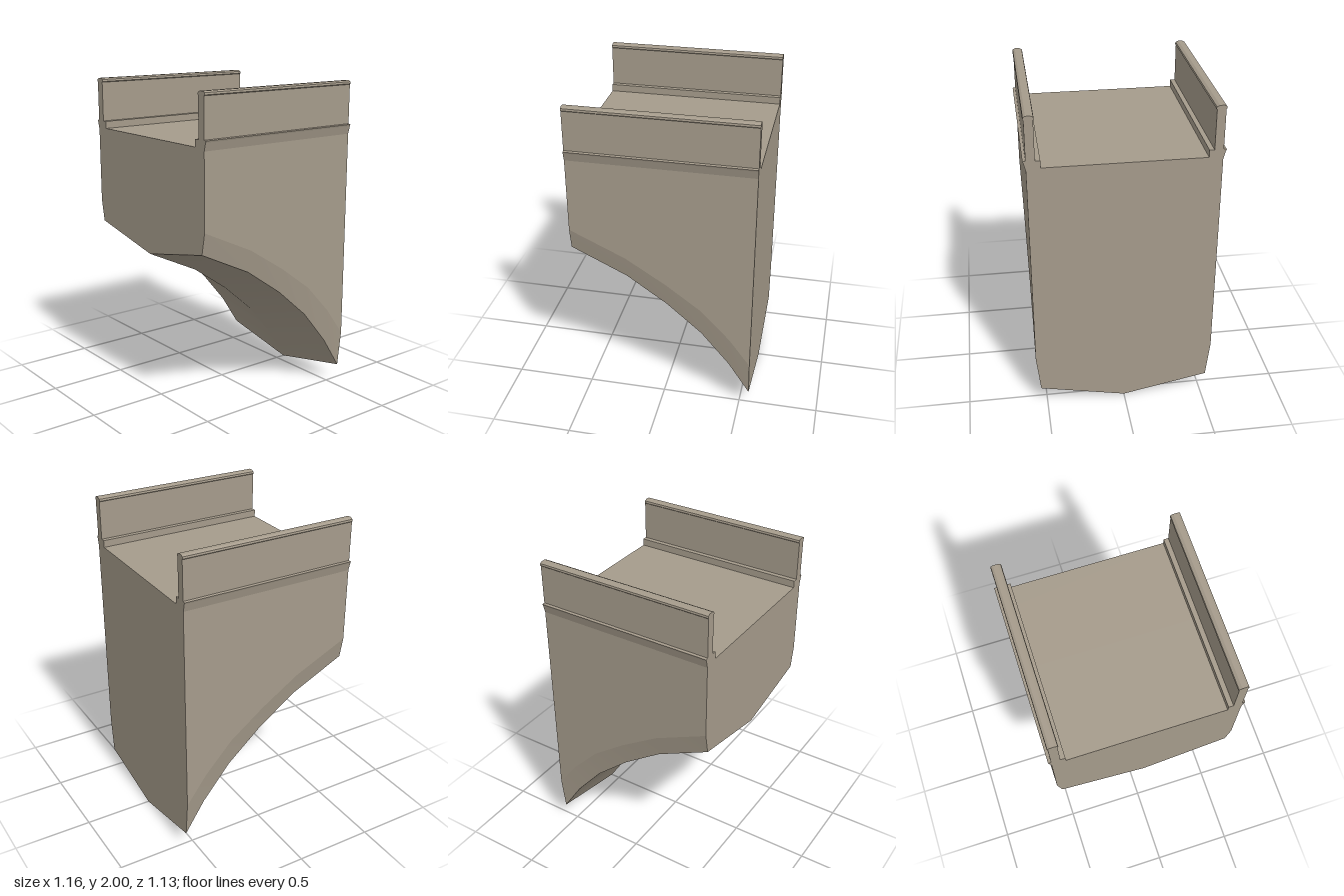
import * as THREE from 'three';
import { mergeGeometries } from 'three/addons/utils/BufferGeometryUtils.js';

const HALF_Z = 0.563;
const FLOOR_Y = 1.685;

// Stations from front to back: z, keel height, height of the lower side edge above its chine
const stations = [
  [HALF_Z, 0.96, 0.135],
  [0.22, 0.795, 0.14],
  [-0.03, 0.62, 0.155],
  [-0.25, 0.427, 0.185],
  [-0.43, 0.21, 0.21],
  [-HALF_Z, 0.003, 0.235],
];

// Closed cross-section, counter-clockwise from the keel
function section([, keel, bevel]) {
  const chine = keel + 0.11;
  return [
    [0, keel], [0.537, chine], [0.563, chine + bevel], [0.563, FLOOR_Y],
    [-0.563, FLOOR_Y], [-0.563, chine + bevel], [-0.537, chine],
  ];
}

// One panel between two neighbouring section corners, smooth along its length
function panel(i) {
  const positions = [], index = [];
  stations.forEach((station, j) => {
    const s = section(station);
    const p = s[i], q = s[(i + 1) % s.length];
    positions.push(p[0], p[1], station[0], q[0], q[1], station[0]);
    if (j > 0) {
      const a = 2 * j - 2, b = a + 1, d = a + 2, c = a + 3;
      index.push(a, d, b, b, d, c);
    }
  });
  const geometry = new THREE.BufferGeometry();
  geometry.setAttribute('position', new THREE.Float32BufferAttribute(positions, 3));
  geometry.setIndex(index);
  geometry.computeVertexNormals();
  return geometry;
}

const toShape = (points) => new THREE.Shape(points.map(([x, y]) => new THREE.Vector2(x, y)));

// Flat end wall; the section is symmetric, so the back one is simply turned round
function endWall(station, turn) {
  const geometry = new THREE.ShapeGeometry(toShape(section(station)));
  geometry.deleteAttribute('uv');
  return geometry.rotateY(turn).translate(0, 0, station[0]);
}

export function createModel() {
  const model = new THREE.Group();
  model.name = 'bracketBlock';
  const stone = new THREE.MeshStandardMaterial({ color: 0xa59b8b });
  stone.name = 'warm stone';

  // Block with a curved, V-shaped underside
  const parts = section(stations[0]).map((_, i) => panel(i));
  parts.push(endWall(stations[0], 0), endWall(stations[stations.length - 1], Math.PI));
  const body = new THREE.Mesh(mergeGeometries(parts), stone);
  body.name = 'body';
  model.add(body);

  // Parapets: inner step, outer moulding and a rounded cap
  const profile = [
    [0.48, 1.68], [0.563, 1.67], [0.576, 1.72], [0.58, 1.73], [0.563, 1.733],
    [0.563, 1.975], [0.568, 1.98], [0.566, 1.992], [0.552, 2], [0.525, 2],
    [0.508, 1.992], [0.505, 1.98], [0.51, 1.975], [0.51, 1.73], [0.48, 1.73],
  ];
  for (const side of [1, -1]) {
    const points = profile.map(([x, y]) => [side * x, y]);
    const geometry = new THREE.ExtrudeGeometry(toShape(points), { depth: 2 * HALF_Z, bevelEnabled: false });
    geometry.translate(0, 0, -HALF_Z);
    const parapet = new THREE.Mesh(geometry, stone);
    parapet.name = side > 0 ? 'leftParapet' : 'rightParapet';
    model.add(parapet);
  }
  return model;
}
